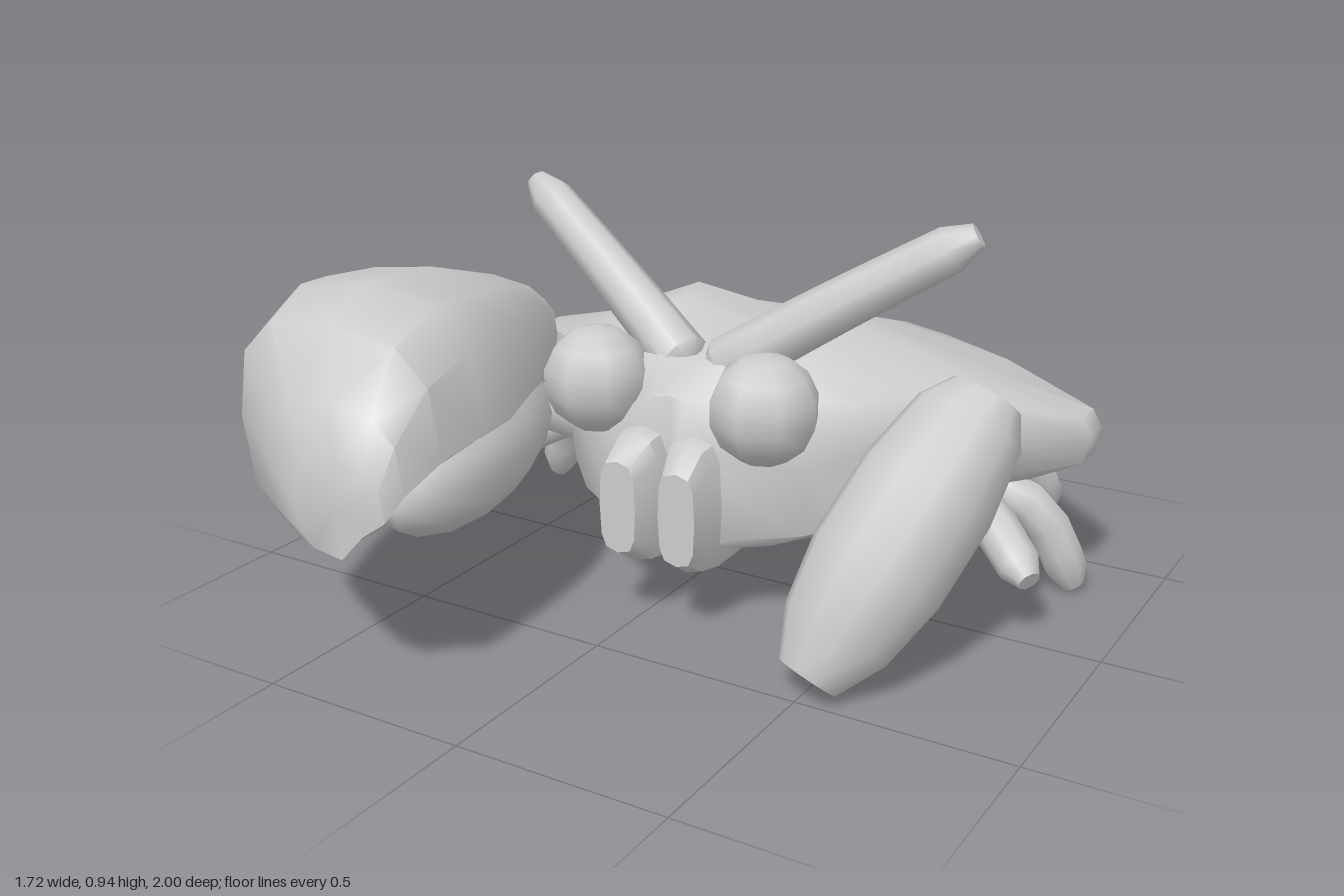
import * as THREE from 'three';
import { toCreasedNormals } from 'three/addons/utils/BufferGeometryUtils.js';

const CX = 0.065; // the body sits slightly to its left, balancing the big claw
const material = new THREE.MeshStandardMaterial({ color: 0xcccccc });
const V = (x, y, z) => new THREE.Vector3(x, y, z);
const mix = THREE.MathUtils.lerp;

function add(parent, name, geometry) {
  const mesh = new THREE.Mesh(geometry, material);
  mesh.name = name;
  parent.add(mesh);
  return mesh;
}

// Skin a list of rings (counter-clockwise seen from the far end) and cap both ends
function loft(rings, crease = 0.9) {
  const n = rings[0].length, last = rings.length - 1, pos = [], index = [];
  rings.forEach(r => r.forEach(p => pos.push(p.x, p.y, p.z)));
  for (let i = 0; i < last; i++) {
    for (let j = 0; j < n; j++) {
      const a = i * n + j, b = i * n + (j + 1) % n;
      index.push(a, b, b + n, a, b + n, a + n);
    }
  }
  for (const end of [0, last]) {
    const mid = rings[end].reduce((s, p) => s.add(p), V(0, 0, 0)).divideScalar(n);
    const c = pos.length / 3;
    pos.push(mid.x, mid.y, mid.z);
    for (let j = 0; j < n; j++) {
      const a = end * n + j, b = end * n + (j + 1) % n;
      index.push(c, end ? a : b, end ? b : a);
    }
  }
  const g = new THREE.BufferGeometry();
  g.setAttribute('position', new THREE.Float32BufferAttribute(pos, 3));
  g.setIndex(index);
  return toCreasedNormals(g, crease);
}

// Squarish ring in an xy plane, between x0..x1 and y0..y1
function boxyRing([z, x0, x1, y0, y1], n = 12, power = 0.7) {
  const soft = v => Math.sign(v) * Math.abs(v) ** power;
  return Array.from({ length: n }, (_, i) => {
    const a = (i / n) * Math.PI * 2;
    return V((x0 + x1) / 2 + soft(Math.cos(a)) * (x1 - x0) / 2,
      (y0 + y1) / 2 + soft(Math.sin(a)) * (y1 - y0) / 2, z);
  });
}

// Limb along a bent path with blunt, bevelled ends
function limb(points, r0, r1, sides = 8) {
  const curve = new THREE.CatmullRomCurve3(points), steps = 20;
  const frames = curve.computeFrenetFrames(steps, false);
  const rings = [0, 1, 4, 7, 10, 13, 16, 18, 20].map(i => {
    const c = curve.getPointAt(i / steps);
    const r = mix(r0, r1, i / steps) * (i % steps === 0 ? 0.55 : 1);
    return Array.from({ length: sides }, (_, j) => {
      const a = (j / sides) * Math.PI * 2;
      return c.clone().addScaledVector(frames.normals[i], Math.cos(a) * r)
        .addScaledVector(frames.binormals[i], Math.sin(a) * r);
    });
  });
  return loft(rings, 1.0);
}

// Diamond shell: z, half width, centre top, ridge top, rim top, rim bottom, belly
const shellSections = [
  [-1.0, 0.03, 0.32, 0.32, 0.31, 0.27, 0.26],
  [-0.97, 0.09, 0.36, 0.36, 0.34, 0.21, 0.18],
  [-0.9, 0.18, 0.43, 0.43, 0.41, 0.24, 0.175],
  [-0.65, 0.46, 0.51, 0.505, 0.45, 0.29, 0.16],
  [-0.36, 0.79, 0.6, 0.59, 0.46, 0.35, 0.145],
  [-0.28, 0.79, 0.61, 0.62, 0.46, 0.35, 0.14],
  [-0.14, 0.64, 0.61, 0.69, 0.5, 0.33, 0.14],
  [0, 0.5, 0.61, 0.69, 0.54, 0.3, 0.15],
  [0.1, 0.4, 0.61, 0.66, 0.54, 0.26, 0.15],
  [0.2, 0.3, 0.6, 0.61, 0.5, 0.24, 0.16],
  [0.29, 0.15, 0.55, 0.54, 0.43, 0.23, 0.18],
];

function shellRing([z, w, top, ridge, rimTop, rimBottom, belly]) {
  const half = [[0.35, mix(belly, rimBottom, 0.1)], [0.72, mix(belly, rimBottom, 0.5)],
    [0.98, rimBottom], [1, mix(rimBottom, rimTop, 0.6)], [0.97, rimTop],
    [0.6, mix(rimTop, ridge, 0.55)], [0.28, ridge]];
  return [V(0, belly, z), ...half.map(([f, y]) => V(f * w, y, z)),
    V(0, top, z), ...half.slice().reverse().map(([f, y]) => V(-f * w, y, z))];
}

// Big claw section, hollowed on its inner lower side where the finger closes
function clawRing(section) {
  const [z, x0, x1, y0, y1] = section, mx = (x0 + x1) / 2, my = (y0 + y1) / 2;
  return boxyRing(section).map(p => (z > 0.1 && p.x > mx + 0.01 && p.y < my - 0.01
    ? V(mix(p.x, mx, 0.45), mix(p.y, my, 0.35), z) : p));
}

export function createModel() {
  const model = new THREE.Group();
  model.name = 'crab';
  const body = new THREE.Group();
  body.name = 'body';
  body.position.x = CX;
  model.add(body);

  add(body, 'shell', loft(shellSections.map(shellRing), 1.0));

  // Walking legs: hip, knee, foot
  const legs = [
    [[0.38, 0.31, -0.22], [0.58, 0.27, -0.12], [0.76, 0.16, 0]],
    [[0.42, 0.29, -0.22], [0.66, 0.22, -0.28], [0.76, 0.02, -0.33]],
    [[0.34, 0.29, -0.36], [0.53, 0.24, -0.53], [0.585, 0.09, -0.64]],
    [[0.22, 0.26, -0.44], [0.36, 0.23, -0.61], [0.395, 0.09, -0.71]],
  ];
  // Mouthpart sections: z, x range, y range
  const mouth = [[0.15, 0, 0.17, 0.17, 0.44], [0.27, 0, 0.14, 0.14, 0.47],
    [0.33, 0.005, 0.13, 0.15, 0.46], [0.39, 0.03, 0.125, 0.19, 0.41]];

  for (const s of [1, -1]) {
    const side = s > 0 ? 'left' : 'right';
    legs.forEach((leg, i) => add(body, `${side}Leg${i + 1}`,
      limb(leg.map(([x, y, z]) => V(x * s, y, z)), 0.06, 0.05)));

    // Eye
    add(body, `${side}Eye`, new THREE.SphereGeometry(0.127, 8, 7)).position.set(0.22 * s, 0.545, 0.25);

    // Antenna, rising from the middle of the brow
    add(body, `${side}Antenna`,
      limb([V(0.03 * s, 0.57, 0.15), V(0.3 * s, 0.745, 0.06), V(0.585 * s, 0.92, -0.035)], 0.068, 0.052));

    // Mouthpart
    add(body, `${side}Mouthpart`, loft(mouth.map(([z, x0, x1, y0, y1]) =>
      boxyRing(s > 0 ? [z, x0, x1, y0, y1] : [z, -x1, -x0, y0, y1], 12, 0.6)), 0.8));
  }

  // Big right claw: z, x range, y range
  const bigClaw = new THREE.Group();
  bigClaw.name = 'bigClaw';
  model.add(bigClaw);
  const clawSections = [
    [-0.1, -0.71, -0.52, 0.41, 0.6],
    [0, -0.83, -0.46, 0.35, 0.67],
    [0.32, -0.86, -0.28, 0.27, 0.77],
    [0.55, -0.81, -0.18, 0.25, 0.81],
    [0.67, -0.77, -0.155, 0.25, 0.825],
    [0.83, -0.7, -0.14, 0.28, 0.78],
    [0.95, -0.5, -0.14, 0.33, 0.66],
    [1, -0.39, -0.15, 0.35, 0.56],
  ];
  add(bigClaw, 'palm', loft(clawSections.map(clawRing), 0.8));
  const finger = add(bigClaw, 'finger', new THREE.SphereGeometry(1, 12, 8));
  finger.scale.set(0.17, 0.16, 0.43);
  finger.position.set(-0.38, 0.42, 0.47);
  finger.rotation.y = 0.33;
  add(bigClaw, 'arm', limb([V(-0.2, 0.35, 0), V(-0.4, 0.38, 0.02), V(-0.6, 0.45, 0.1)], 0.09, 0.1));

  // Small left claw, hanging forward and inward
  const smallClaw = new THREE.Group();
  smallClaw.name = 'smallClaw';
  smallClaw.position.set(0.725, 0.59, 0.09);
  smallClaw.lookAt(0.52, 0.07, 0.46);
  model.add(smallClaw);
  const profile = [[-0.02, 0.085, 0.07], [0.05, 0.125, 0.115], [0.22, 0.15, 0.145],
    [0.42, 0.15, 0.145], [0.58, 0.125, 0.115], [0.69, 0.075, 0.06]];
  add(smallClaw, 'palm', loft(profile.map(([z, rx, ry]) =>
    boxyRing([z, -rx, rx, -ry, ry], 10, 0.85)), 0.8));
  const smallFinger = add(smallClaw, 'finger', new THREE.SphereGeometry(1, 10, 8));
  smallFinger.scale.set(0.09, 0.07, 0.26);
  smallFinger.position.set(-0.06, -0.09, 0.34);
  add(model, 'smallClawArm', limb([V(0.35, 0.35, 0.02), V(0.5, 0.36, 0.08), V(0.64, 0.42, 0.18)], 0.07, 0.08));

  return model;
}
